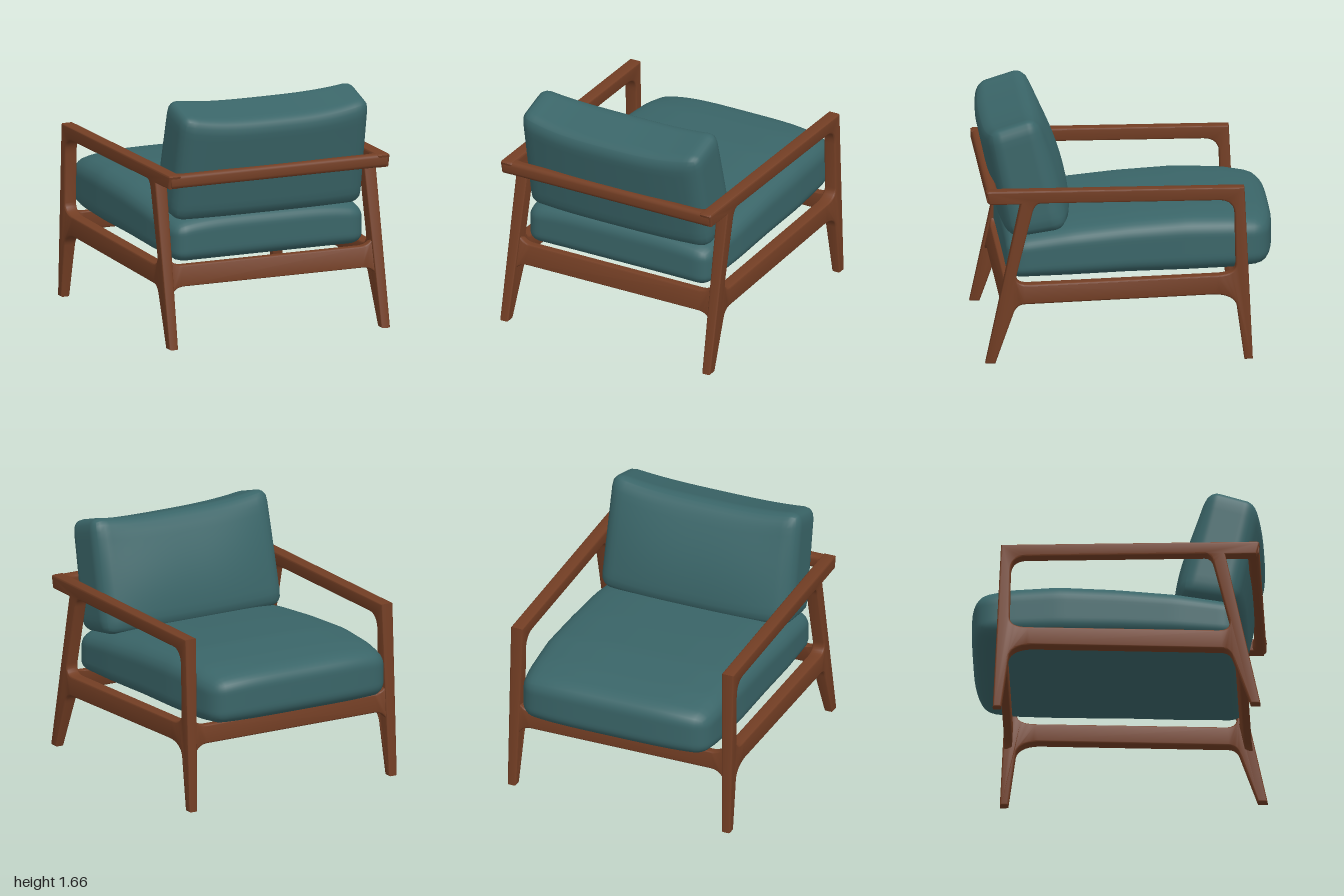
import * as THREE from 'three';
import { mergeVertices, toCreasedNormals } from 'three/addons/utils/BufferGeometryUtils.js';

const wood = new THREE.MeshStandardMaterial({ color: 0x733e24 });
wood.name = 'walnut wood';
const fabric = new THREE.MeshStandardMaterial({ color: 0x3a6568 });
fabric.name = 'teal fabric';

// Move every vertex by a rule
function warp(geo, rule) {
  const p = geo.attributes.position, v = new THREE.Vector3();
  for (let i = 0; i < p.count; i++) {
    v.fromBufferAttribute(p, i);
    rule(v);
    p.setXYZ(i, v.x, v.y, v.z);
  }
  return geo;
}

// Extrusion centred on its depth, with softened edges kept inside the outline
function slab(shape, depth, bevel) {
  const geo = new THREE.ExtrudeGeometry(shape, {
    depth: depth - 2 * bevel, curveSegments: 8, bevelEnabled: true,
    bevelThickness: bevel, bevelSize: bevel, bevelOffset: -bevel, bevelSegments: 3,
  });
  return geo.translate(0, 0, bevel - depth / 2);
}

function add(group, name, geo, mat) {
  const mesh = new THREE.Mesh(geo, mat);
  mesh.name = name;
  group.add(mesh);
}

// Piecewise-linear lookup through [key, value] pairs with rising keys
function lookup(pairs, k) {
  if (k <= pairs[0][0]) return pairs[0][1];
  for (let i = 1; i < pairs.length; i++) {
    const [a, va] = pairs[i - 1], [b, vb] = pairs[i];
    if (k <= b) return va + (vb - va) * (k - a) / (b - a);
  }
  return pairs[pairs.length - 1][1];
}

// Legs, armrest and side rail as one frame, drawn in (z, y)
function sideFrame(side) {
  const s = new THREE.Shape();
  s.moveTo(0.982, 0);
  s.lineTo(0.742, 1.12);
  s.lineTo(0.955, 1.12);
  s.lineTo(0.975, 1.205);
  s.lineTo(0.96, 1.215);
  s.lineTo(-0.785, 1.215);
  s.lineTo(-0.842, 0);
  s.lineTo(-0.785, 0);
  s.lineTo(-0.735, 0.37);
  s.quadraticCurveTo(-0.72, 0.455, -0.58, 0.46);
  s.lineTo(0.716, 0.414);
  s.quadraticCurveTo(0.775, 0.41, 0.795, 0.34);
  s.lineTo(0.915, 0);
  const h = new THREE.Path();
  h.moveTo(-0.61, 1.125);
  h.quadraticCurveTo(-0.72, 1.125, -0.72, 1.01);
  h.lineTo(-0.727, 0.67);
  h.quadraticCurveTo(-0.727, 0.6, -0.6, 0.595);
  h.lineTo(0.69, 0.553);
  h.quadraticCurveTo(0.785, 0.55, 0.768, 0.63);
  h.lineTo(0.662, 1.06);
  h.quadraticCurveTo(0.645, 1.125, 0.6, 1.125);
  s.holes.push(h);
  const geo = slab(s, 0.09, 0.012).rotateY(-Math.PI / 2);
  warp(geo, (v) => {
    // feet taper on their inner side
    if (v.x * side < 0) v.x += side * 0.025 * Math.max(0, 1 - v.y / 0.45);
    v.x += side * 0.782;
  });
  return toCreasedNormals(geo, 0.6);
}

// Cross rail outline from lo to hi, flaring at both ends
function railShape(half, lo, hi, flareLo, flareHi, run) {
  const s = new THREE.Shape(), i = half - run;
  s.moveTo(-half, lo - flareLo);
  s.quadraticCurveTo(-half + run * 0.3, lo, -i, lo);
  s.lineTo(i, lo);
  s.quadraticCurveTo(half - run * 0.3, lo, half, lo - flareLo);
  s.lineTo(half, hi + flareHi);
  s.quadraticCurveTo(half - run * 0.3, hi, i, hi);
  s.lineTo(-i, hi);
  s.quadraticCurveTo(-half + run * 0.3, hi, -half, hi + flareHi);
  return s;
}

// Finely divided box with rounded edges, before warping
function roundedBlock(w, h, d, r) {
  const geo = new THREE.BoxGeometry(w, h, d, 36, 16, 36);
  geo.deleteAttribute('uv');
  geo.deleteAttribute('normal');
  const inner = new THREE.Vector3(w / 2 - r, h / 2 - r, d / 2 - r);
  const core = new THREE.Vector3();
  warp(geo, (v) => {
    core.copy(v).clamp(inner.clone().negate(), inner);
    v.sub(core);
    if (v.lengthSq() > 0) v.setLength(r);
    v.add(core);
  });
  return geo;
}

function finish(geo) {
  const merged = mergeVertices(geo, 1e-4);
  merged.computeVertexNormals();
  return merged;
}

function seatCushion() {
  const top = [[-1, 0.955], [-0.72, 0.99], [-0.4, 0.998], [0, 0.973], [0.4, 0.932], [0.83, 0.865]];
  const bottom = [[-1, 0.625], [-0.72, 0.602], [0, 0.588], [0.83, 0.555]];
  const width = [[-1, 0.93], [-0.8, 0.965], [-0.4, 1], [0.4, 1], [0.83, 0.97]];
  const geo = roundedBlock(1.47, 0.36, 1.83, 0.1);
  warp(geo, (v) => {
    const u = Math.abs(v.x) / 0.735, t = v.y / 0.36 + 0.5;
    const z = v.z - 0.085;
    const hi = lookup(top, z) - 0.05 * u ** 4;
    v.y = THREE.MathUtils.lerp(lookup(bottom, z), hi, t);
    v.x *= lookup(width, z);
    // front edge bows out in plan
    v.z = z + (z < -0.7 ? 0.06 * u ** 4 * (-0.7 - z) / 0.3 : 0);
  });
  return finish(geo);
}

function backCushion() {
  const geo = roundedBlock(1.42, 0.8, 0.36, 0.085);
  const lerp = THREE.MathUtils.lerp;
  warp(geo, (v) => {
    const u = Math.abs(v.x) / 0.71, t = v.y / 0.8 + 0.5, s = v.z / 0.36 + 0.5;
    const crown = 1 - Math.min(1, u) ** 3;
    // s runs front to back, t runs bottom to top
    const frontZ = lerp(0.425, 0.625, t) - crown * 0.10 * Math.sin(Math.PI * (0.2 + 0.75 * t));
    const backZ = lerp(0.80, 0.955, t) + crown * 0.045;
    const lowY = lerp(0.895, 0.835, s);
    const highY = lerp(1.695, 1.59, s) - crown * lerp(0.045, 0.06, s);
    v.z = lerp(frontZ, backZ, s);
    v.y = lerp(lowY, highY, t);
    v.x *= lerp(1.0, 0.985, t);
  });
  return finish(geo);
}

export function createModel() {
  const chair = new THREE.Group();
  chair.name = 'armchair';

  add(chair, 'leftSideFrame', sideFrame(1), wood);
  add(chair, 'rightSideFrame', sideFrame(-1), wood);

  // Lower rails between the legs, leaning with them
  const rear = slab(railShape(0.765, 0.41, 0.553, 0.05, 0.06, 0.1), 0.055, 0.01);
  warp(rear, (v) => { v.z += 0.835 - 0.214 * (v.y - 0.48); });
  add(chair, 'rearSeatRail', toCreasedNormals(rear, 0.6), wood);

  const front = slab(railShape(0.765, 0.46, 0.59, 0.07, 0.06, 0.1), 0.055, 0.01);
  warp(front, (v) => { v.z += -0.782 + 0.046 * (v.y - 0.5); });
  add(chair, 'frontSeatRail', toCreasedNormals(front, 0.6), wood);

  // Upper rail behind the back cushion, joining the armrests
  const upper = slab(railShape(0.81, 0.895, 0.972, 0.1, 0, 0.14), 0.093, 0.025);
  upper.rotateX(Math.PI / 2).translate(0, 1.167, 0);
  add(chair, 'backRail', toCreasedNormals(upper, 0.7), wood);

  add(chair, 'seatCushion', seatCushion(), fabric);
  add(chair, 'backCushion', backCushion(), fabric);
  return chair;
}
